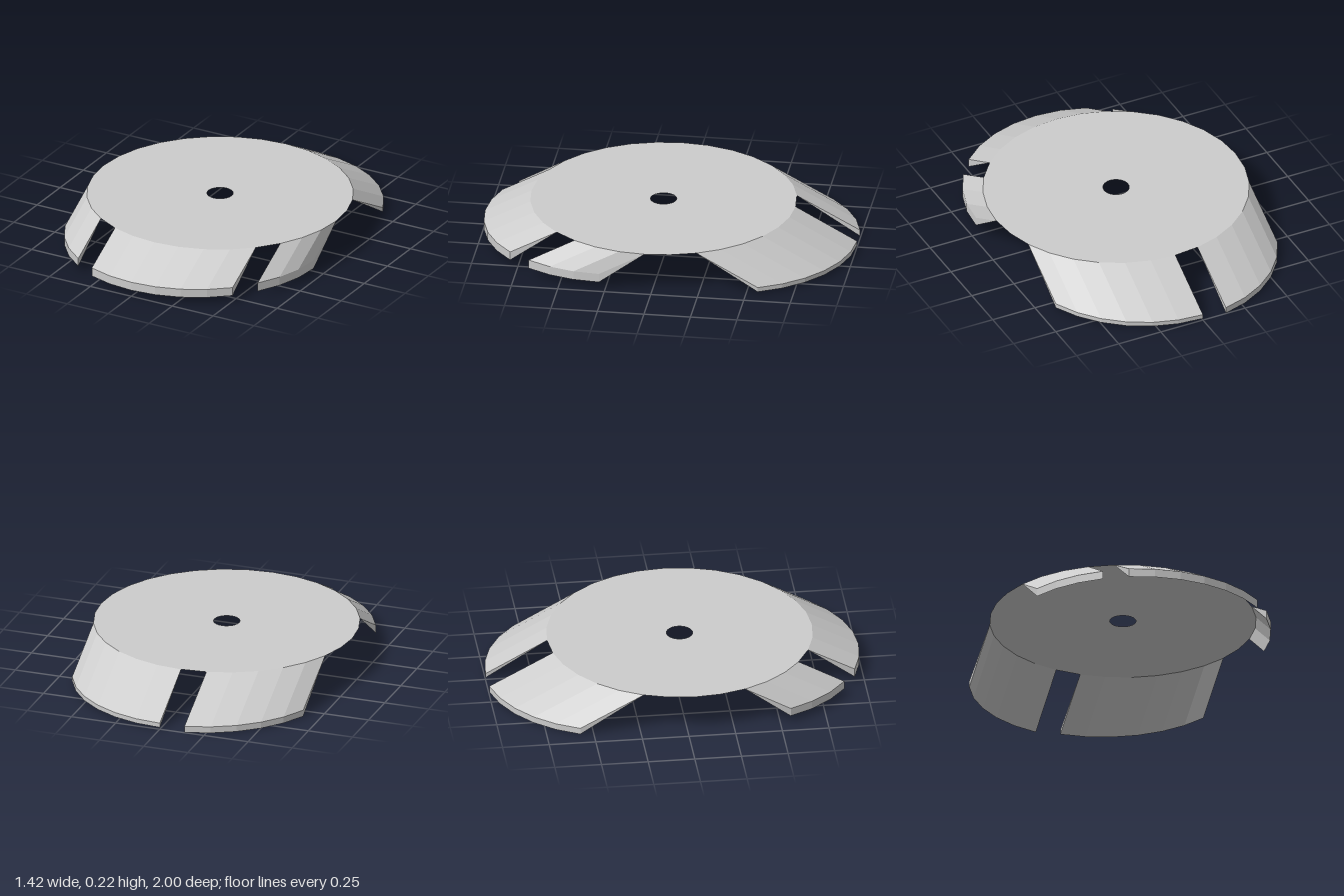
import * as THREE from 'three';

const RADIUS = 0.71, CENTER_Z = 0.04, TOP = 0.215, SEGMENTS = 32;

// Wedge-shaped flap hanging from the rim between two rim steps (0 = front, counted towards +x),
// slid along z by slide; its free edge is a lip between lipTop and lipBottom.
function flapGeometry(from, to, slide, lipTop, lipBottom) {
  const section = (i) => {
    const a = (i / SEGMENTS) * Math.PI * 2;
    const x = RADIUS * Math.sin(a), z = CENTER_Z + RADIUS * Math.cos(a);
    return [[x, TOP, z], [x, lipTop, z + slide], [x, lipBottom, z + slide]];
  };
  const pos = [];
  const tri = (a, b, c) => pos.push(...a, ...b, ...c);
  for (let i = from; i < to; i++) {
    const s = section(i), t = section(i + 1);
    for (let k = 0; k < 3; k++) {
      const n = (k + 1) % 3;
      tri(s[k], s[n], t[n]);
      tri(s[k], t[n], t[k]);
    }
  }
  const s = section(from), e = section(to);
  tri(s[0], s[2], s[1]);
  tri(e[0], e[1], e[2]);
  const geo = new THREE.BufferGeometry();
  geo.setAttribute('position', new THREE.Float32BufferAttribute(pos, 3));
  geo.computeVertexNormals();
  return geo;
}

export function createModel() {
  const group = new THREE.Group();
  const grey = new THREE.MeshStandardMaterial({ color: 0xcccccc, flatShading: true, side: THREE.DoubleSide });
  grey.name = 'light grey';

  // Flat disc with a centre hole
  const disc = new THREE.Mesh(new THREE.RingGeometry(0.07, RADIUS, SEGMENTS).rotateX(-Math.PI / 2), grey);
  disc.position.set(0, TOP, CENTER_Z);
  disc.name = 'disc';
  group.add(disc);

  // Sloping flaps around the rim
  const flaps = [
    ['frontRightFlap', -6, -3, 0.245, 0.08, 0.035],
    ['frontFlap', -2, 4, 0.25, 0.082, 0.035],
    ['frontLeftFlap', 5, 8, 0.245, 0.083, 0.035],
    ['backLeftFlap', 10, 16, -0.33, 0.035, 0.01],
    ['backRightFlap', 17, 22, -0.34, 0.035, 0],
  ];
  for (const [name, ...shape] of flaps) {
    const flap = new THREE.Mesh(flapGeometry(...shape), grey);
    flap.name = name;
    group.add(flap);
  }
  return group;
}
